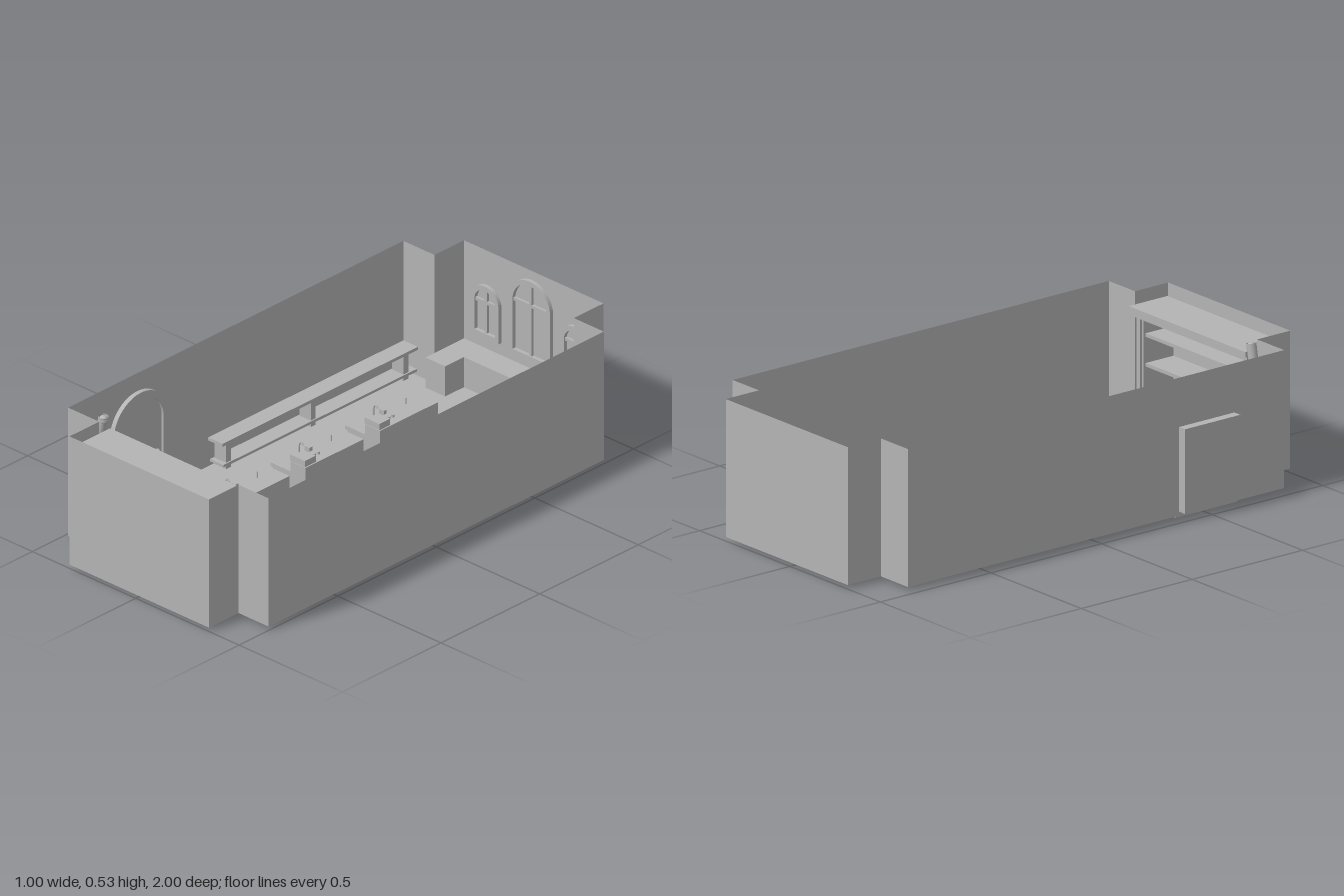
import * as THREE from 'three';

export function createModel() {
  const grey = new THREE.MeshStandardMaterial({ color: 0xb4b4b4, side: THREE.DoubleSide });
  grey.name = 'plain grey';
  const model = new THREE.Group();
  model.name = 'laboratoryRoom';

  const add = (parent, name, geometry, x = 0, y = 0, z = 0) => {
    const mesh = new THREE.Mesh(geometry, grey);
    mesh.name = name;
    mesh.position.set(x, y, z);
    parent.add(mesh);
    return mesh;
  };
  // Box given by its limits on each axis
  const box = (parent, name, x0, x1, y0, y1, z0, z1) =>
    add(parent, name, new THREE.BoxGeometry(x1 - x0, y1 - y0, z1 - z0),
      (x0 + x1) / 2, (y0 + y1) / 2, (z0 + z1) / 2);
  const rod = (parent, name, r, h, x, y, z, sides = 12) =>
    add(parent, name, new THREE.CylinderGeometry(r, r, h, sides), x, y, z);
  const group = (name, parent = model) => {
    const g = new THREE.Group();
    g.name = name;
    parent.add(g);
    return g;
  };

  // Floor and thin walls with an alcove at each end
  const FLOOR = 0.015, TOP = 0.525;
  const plan = [[-0.47, -0.85], [-0.32, -0.85], [-0.32, -1], [0.355, -1], [0.355, -0.85], [0.5, -0.85],
    [0.5, 0.85], [0.355, 0.85], [0.355, 1], [-0.32, 1], [-0.32, 0.85], [-0.47, 0.85]];
  const floorShape = new THREE.Shape(plan.map(([x, z]) => new THREE.Vector2(x, -z)));
  add(model, 'floor', new THREE.ShapeGeometry(floorShape).rotateX(-Math.PI / 2), 0, FLOOR, 0);
  plan.forEach(([x, z], i) => {
    const [x2, z2] = plan[(i + 1) % plan.length];
    const wall = add(model, 'wall', new THREE.PlaneGeometry(Math.hypot(x2 - x, z2 - z), TOP - FLOOR),
      (x + x2) / 2, (FLOOR + TOP) / 2, (z + z2) / 2);
    wall.rotation.y = Math.atan2(z - z2, x2 - x);
  });

  // Arched frame: straight jambs and a half-round head
  const archPath = (w, y0, y1, Type) => {
    const p = new Type(), r = w / 2;
    p.moveTo(-r, y0);
    p.lineTo(r, y0);
    p.lineTo(r, y1 - r);
    p.absarc(0, y1 - r, r, 0, Math.PI, false);
    p.lineTo(-r, y0);
    return p;
  };
  const archFrame = (w, y0, y1, t, depth, sill = t) => {
    const shape = archPath(w, y0, y1, THREE.Shape);
    shape.holes.push(archPath(w - 2 * t, y0 + sill, y1 - t, THREE.Path));
    return new THREE.ExtrudeGeometry(shape, { depth, bevelEnabled: false, curveSegments: 20 });
  };

  // Three arched windows on the back wall
  for (const [x, w, y0, y1] of [[-0.205, 0.135, 0.185, 0.39], [0.012, 0.2, 0.175, 0.49], [0.228, 0.135, 0.185, 0.39]]) {
    const win = group('window');
    win.position.set(x, 0, -0.999);
    add(win, 'windowFrame', archFrame(w, y0, y1, 0.018, 0.015));
    box(win, 'mullion', -0.006, 0.006, y0, y1 - 0.01, 0, 0.01);
    const mid = y1 - w / 2;
    box(win, 'transom', -w / 2 + 0.01, w / 2 - 0.01, mid - 0.006, mid + 0.006, 0, 0.01);
  }

  // U-shaped counter in the back alcove
  const counter = group('backCounter');
  box(counter, 'counterBack', -0.32, 0.355, FLOOR, 0.135, -1, -0.9);
  box(counter, 'counterSide', -0.32, -0.225, FLOOR, 0.135, -0.9, -0.805);
  box(counter, 'counterSide', 0.255, 0.355, FLOOR, 0.135, -0.9, -0.805);

  // Long shelf along the right wall
  const wallBench = group('wallShelf');
  box(wallBench, 'shelfTop', -0.47, -0.4, 0.118, 0.13, -0.85, 0.14);
  box(wallBench, 'lowerShelf', -0.47, -0.405, 0.03, 0.04, -0.85, 0.13);
  for (const z of [-0.8, -0.33, 0.1]) box(wallBench, 'shelfSupport', -0.465, -0.41, FLOOR, 0.118, z - 0.012, z + 0.012);

  // Bookcase filling the front alcove
  const bookcase = group('bookcase');
  box(bookcase, 'bookcaseTop', -0.31, 0.335, 0.465, 0.485, 0.805, 0.98);
  box(bookcase, 'cornice', -0.3, 0.325, 0.445, 0.465, 0.82, 0.98);
  box(bookcase, 'bookcaseBack', -0.3, 0.325, FLOOR, 0.445, 0.97, 0.98);
  for (const [x0, x1] of [[-0.3, -0.265], [0.29, 0.325]]) {
    box(bookcase, 'bookcaseSide', x0, x1, FLOOR, 0.445, 0.835, 0.97);
    box(bookcase, 'bookcasePost', x0 + 0.008, x1 - 0.008, 0.04, 0.445, 0.825, 0.835);
    box(bookcase, 'postFoot', x0, x1, FLOOR, 0.04, 0.82, 0.835);
  }
  for (const y of [0.05, 0.16, 0.265, 0.375]) box(bookcase, 'bookShelf', -0.265, 0.29, y, y + 0.013, 0.845, 0.97);

  // Arched doorway inside and flat slab outside the right wall
  const door = group('door');
  box(door, 'outerDoorSlab', -0.503, -0.47, 0.03, 0.343, 0.375, 0.625);
  const doorway = group('doorway', door);
  doorway.position.set(-0.469, 0, 0.5);
  doorway.rotation.y = Math.PI / 2;
  add(doorway, 'doorFrame', archFrame(0.28, 0.01, 0.455, 0.025, 0.018, 0.008));
  add(doorway, 'doorLeaf', new THREE.ExtrudeGeometry(archPath(0.24, 0.016, 0.435, THREE.Shape),
    { depth: 0.008, bevelEnabled: false, curveSegments: 20 }));
  add(doorway, 'doorKnob', new THREE.SphereGeometry(0.009, 12, 8), 0.085, 0.19, 0.018);

  // Leaning tube with its round base and a stool in the front corner
  const stand = group('cornerStand');
  rod(stand, 'standBase', 0.038, 0.02, -0.43, 0.025, 0.81, 20);
  const foot = new THREE.Vector3(-0.43, 0.03, 0.81), head = new THREE.Vector3(-0.337, 0.525, 0.81);
  add(stand, 'leaningTube', new THREE.TubeGeometry(new THREE.LineCurve3(foot, head), 1, 0.018, 16));
  add(stand, 'tubeCap', new THREE.SphereGeometry(0.018, 16, 10), head.x, head.y - 0.015, head.z);
  rod(stand, 'stoolPost', 0.008, 0.09, -0.37, 0.06, 0.77);
  add(stand, 'stoolRing', new THREE.TorusGeometry(0.027, 0.006, 8, 20).rotateX(Math.PI / 2), -0.37, 0.105, 0.77);

  // Laboratory bench: low worktop, raised cabinet, sink block, tap and feet
  const makeBench = (x, z, turn) => {
    const b = group('labBench');
    b.position.set(x, 0, z);
    b.rotation.y = turn;
    box(b, 'worktop', -0.085, 0.012, 0.1, 0.115, -0.147, 0.147);
    box(b, 'benchBody', -0.078, 0.012, FLOOR, 0.1, -0.14, 0.14);
    box(b, 'raisedCabinet', 0.012, 0.085, FLOOR, 0.155, -0.147, 0.147);
    box(b, 'sinkBlock', 0.008, 0.08, 0.155, 0.18, 0.09, 0.145);
    box(b, 'tapPlate', -0.018, 0.006, 0.115, 0.165, 0.03, 0.044);
    const spout = new THREE.CatmullRomCurve3([[0.02, 0.15, 0.11], [0.02, 0.21, 0.11], [0.028, 0.222, 0.11],
      [0.04, 0.212, 0.11]].map(p => new THREE.Vector3(...p)));
    add(b, 'tap', new THREE.TubeGeometry(spout, 16, 0.003, 8));
    for (const kz of [0.04, 0.06, 0.08]) rod(b, 'knob', 0.006, 0.01, 0.045, 0.16, kz);
    rod(b, 'gasTap', 0.003, 0.03, 0.012, 0.165, -0.06, 8);
    for (const fx of [-0.062, 0.062]) for (const fz of [-0.117, 0.117]) rod(b, 'foot', 0.009, 0.02, fx, 0.01, fz);
  };
  for (const z of [-0.4225, -0.045, 0.33]) {
    makeBench(-0.12, z, 0);
    makeBench(0.1475, z, Math.PI);
  }
  return model;
}
